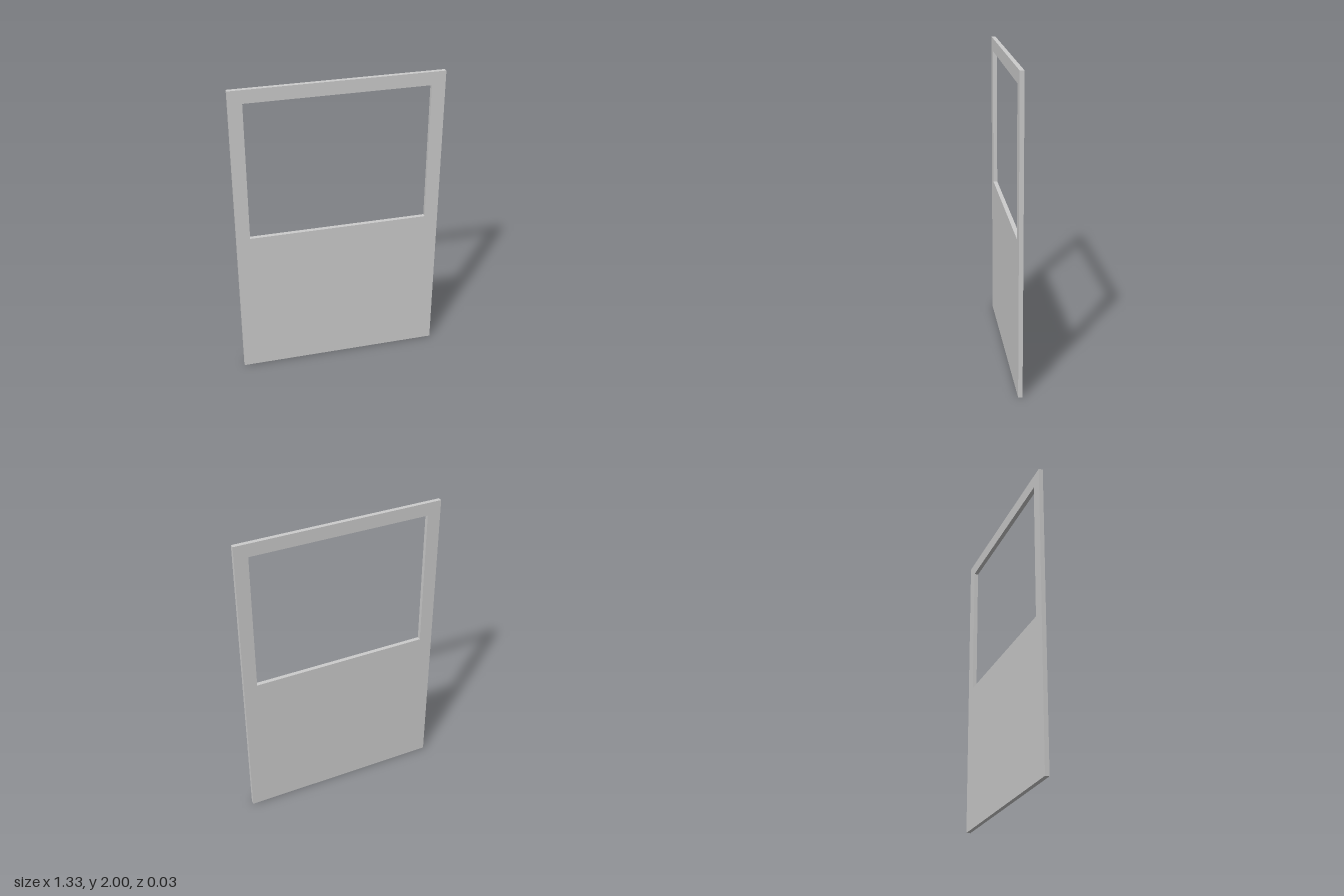
import * as THREE from 'three';

const HALF_WIDTH = 0.664, HEIGHT = 2, DEPTH = 0.027;
const OPENING = { halfWidth: 0.577, bottom: 1.0, top: 1.915 };

// Corner points of an upright rectangle centred on x = 0
function rectangle(halfWidth, bottom, top) {
  return [[-halfWidth, bottom], [halfWidth, bottom], [halfWidth, top], [-halfWidth, top]]
    .map(([x, y]) => new THREE.Vector2(x, y));
}

export function createModel() {
  const model = new THREE.Group();
  model.name = 'doorPanel';

  // Flat door leaf with a window opening in its upper half
  const outline = new THREE.Shape(rectangle(HALF_WIDTH, 0, HEIGHT));
  outline.holes.push(new THREE.Path(rectangle(OPENING.halfWidth, OPENING.bottom, OPENING.top).reverse()));
  const geometry = new THREE.ExtrudeGeometry(outline, { depth: DEPTH, bevelEnabled: false });
  geometry.translate(0, 0, -DEPTH / 2);

  const leaf = new THREE.Mesh(geometry, new THREE.MeshStandardMaterial({ color: 0xcccccc }));
  leaf.name = 'doorLeaf';
  model.add(leaf);
  return model;
}
